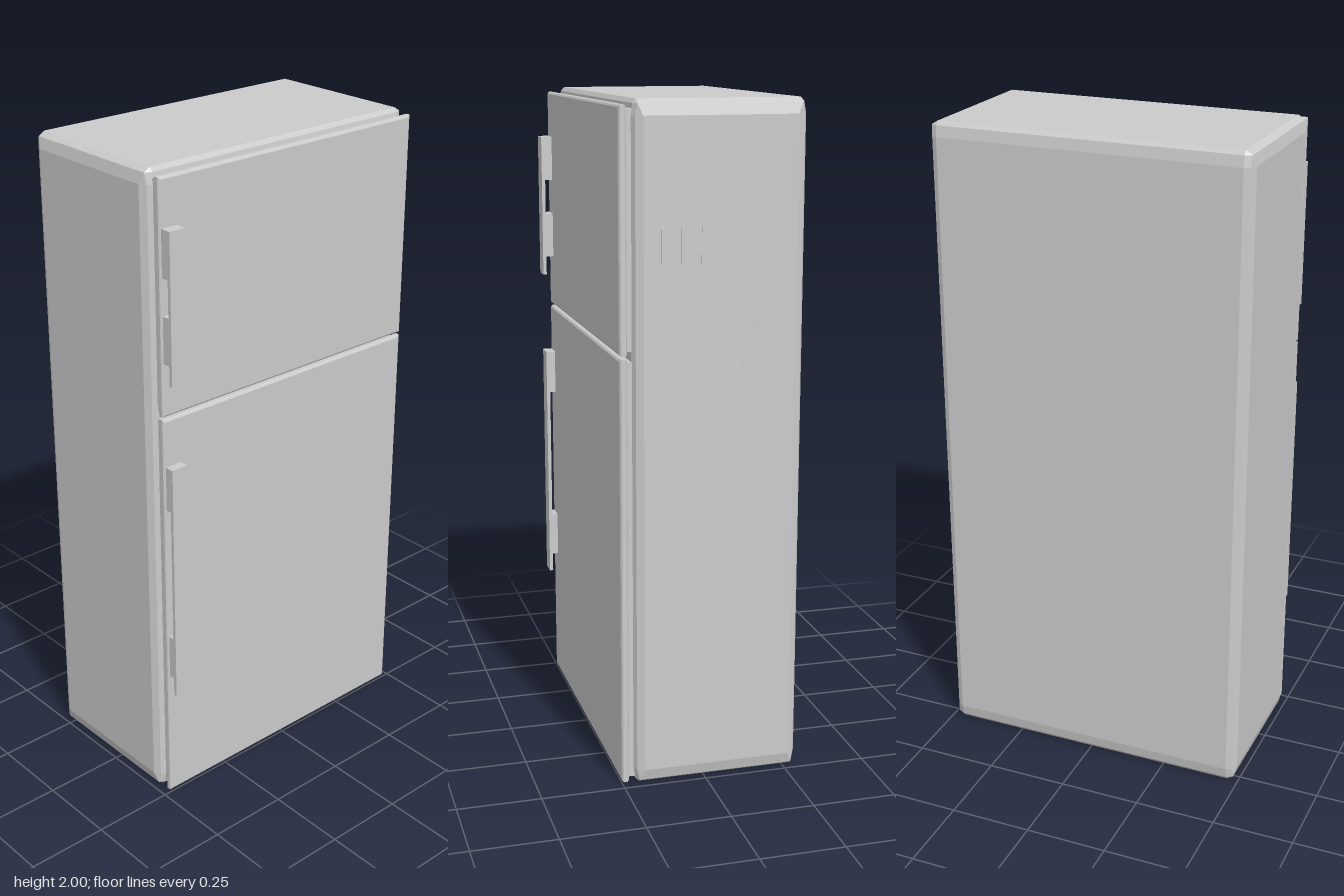
import * as THREE from 'three';
import { ConvexGeometry } from 'three/addons/geometries/ConvexGeometry.js';

const material = new THREE.MeshStandardMaterial({ color: 0xcccccc, flatShading: true });

function addMesh(parent, name, geometry, x = 0, y = 0, z = 0) {
  const mesh = new THREE.Mesh(geometry, material);
  mesh.name = name;
  mesh.position.set(x, y, z);
  parent.add(mesh);
  return mesh;
}

// Box given by its minimum and maximum along each axis
function addBox(parent, name, [x0, x1], [y0, y1], [z0, z1]) {
  return addMesh(parent, name, new THREE.BoxGeometry(x1 - x0, y1 - y0, z1 - z0),
    (x0 + x1) / 2, (y0 + y1) / 2, (z0 + z1) / 2);
}

// Box with bevelled edges: each level lists the inset along x, y and z
function bevelledBox([w, h, d], levels) {
  const points = [];
  for (const [ix, iy, iz] of levels)
    for (const sx of [-1, 1]) for (const sy of [-1, 1]) for (const sz of [-1, 1])
      points.push(new THREE.Vector3(sx * (w / 2 - ix), sy * (h / 2 - iy), sz * (d / 2 - iz)));
  return new ConvexGeometry(points);
}

// Door slab with its gasket behind it
function addDoor(parent, name, y0, y1) {
  const door = new THREE.Group();
  door.name = name;
  parent.add(door);
  addBox(door, 'gasket', [0.21, 0.235], [y0 + 0.011, y1 - 0.011], [-0.466, 0.466]);
  const slab = bevelledBox([0.023, y1 - y0, 0.956],
    [[0, 0.007, 0.007], [0.006, 0, 0], [0.003, 0.002, 0.002]]);
  addMesh(door, 'doorPanel', slab, 0.2415, (y0 + y1) / 2, 0);
  return door;
}

// Grip bar on two mounting blocks, with a short tail hanging below
function addHandle(parent, top, bottom, outer) {
  const grip = outer - 0.011;
  const shape = new THREE.Shape([
    [outer, top], [0.25, top], [0.25, top - 0.138], [grip, top - 0.138],
    [grip, bottom + 0.2], [0.25, bottom + 0.2], [0.25, bottom + 0.06],
    [grip, bottom + 0.06], [grip, bottom], [outer, bottom],
  ].map(([x, y]) => new THREE.Vector2(x, y)));
  addMesh(parent, 'handle', new THREE.ExtrudeGeometry(shape, { depth: 0.054, bevelEnabled: false }),
    0, 0, 0.418);
}

export function createModel() {
  const model = new THREE.Group();
  model.name = 'refrigerator';

  // Cabinet with soft two-step bevels
  addMesh(model, 'cabinet', bevelledBox([0.505, 2, 0.983], [
    [0, 0.045, 0.028], [0.016, 0, 0.028], [0.03, 0.045, 0],
    [0.006, 0.012, 0.028], [0.016, 0.012, 0.008], [0.009, 0.045, 0.011],
  ]), -0.0365, 1, 0);

  // Freezer and main doors
  addHandle(addDoor(model, 'freezerDoor', 1.295, 1.985), 1.845, 1.398, 0.287);
  addHandle(addDoor(model, 'mainDoor', 0.008, 1.287), 1.14, 0.375, 0.282);

  // Small plates on the back
  for (const [x0, x1] of [[0.087, 0.137], [0.058, 0.078], [-0.022, 0.02]])
    addBox(model, 'backPlate', [x0, x1], [1.55, 1.65], [-0.495, -0.485]);

  // Screws on the back and front
  const screws = [[-0.138, 1.366, -1], [-0.044, 1.262, -1], [-0.11, 1.264, -1],
    [-0.203, 1.264, -1], [0.15, 1.07, 1]];
  for (const [x, y, side] of screws) {
    const screw = addMesh(model, 'screw', new THREE.CylinderGeometry(0.004, 0.004, 0.006, 8),
      x, y, side * 0.49);
    screw.rotation.x = Math.PI / 2;
  }
  return model;
}
